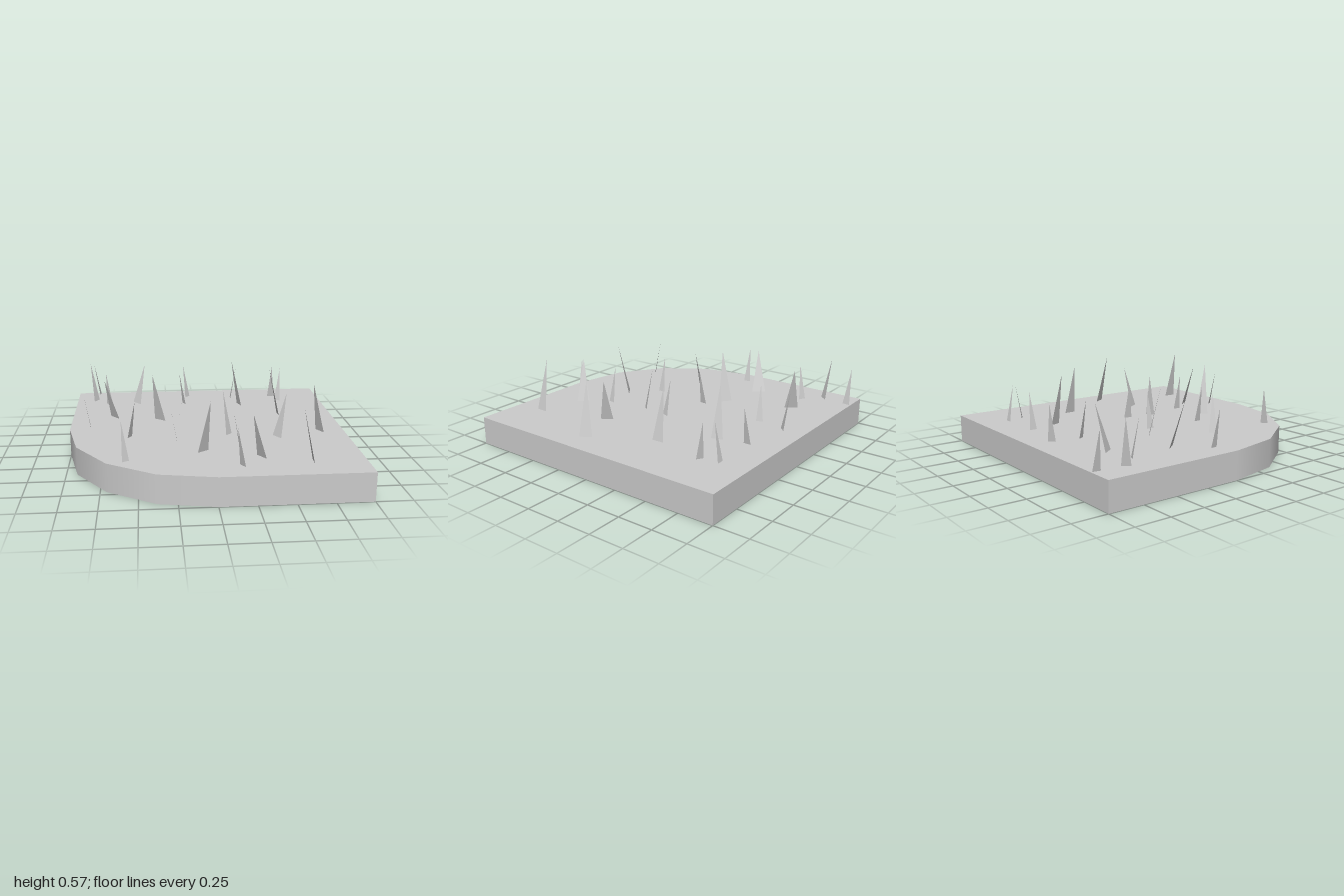
import * as THREE from 'three';

const H = 0.2; // ground height

// Blades by height above ground: [tip x, tip z, centre x, centre z]
const blades = [
  { height: 0.265, list: [
    [-0.872, -0.968, -0.84, -0.964], [-0.898, -0.064, -0.868, -0.067],
    [-0.754, -0.599, -0.74, -0.627], [-0.123, -0.861, -0.1, -0.84],
    [-0.166, -0.604, -0.141, -0.617], [0.316, -0.77, 0.285, -0.77],
    [0.615, -0.743, 0.615, -0.774], [0.674, -0.695, 0.658, -0.67],
    [-0.155, -0.08, -0.186, -0.083], [0.128, -0.027, 0.159, -0.016],
    [-0.519, 0.219, -0.546, 0.201], [-0.273, 0.337, -0.243, 0.337],
    [0.15, 0.481, 0.18, 0.486], [-0.604, 0.642, -0.588, 0.668],
    [0.134, 0.845, 0.16, 0.827],
  ] },
  { height: 0.31, list: [
    [-0.888, -0.797, -0.859, -0.775], [-0.749, -0.23, -0.702, -0.267],
    [-0.444, -0.717, -0.49, -0.683], [0.112, 0.15, 0.139, 0.175],
    [0.556, 0.23, 0.511, 0.257], [0.251, 0.711, 0.296, 0.681],
  ] },
  { height: 0.37, list: [
    [0.251, -0.54, 0.296, -0.555], [0.513, -0.267, 0.563, -0.269],
    [-0.388, -0.13, -0.352, -0.175], [0.755, 0.2, 0.8, 0.175],
    [-0.016, 0.594, -0.046, 0.551], [0.567, 0.775, 0.617, 0.777],
  ] },
];

export function createModel() {
  const group = new THREE.Group();
  const smooth = new THREE.MeshStandardMaterial({ color: 0xcccccc, side: THREE.DoubleSide });
  const add = (name, geometry, parent = group) => {
    const mesh = new THREE.Mesh(geometry, smooth);
    mesh.name = name;
    parent.add(mesh);
    return mesh;
  };

  // Ground surface: a square with one corner rounded in four steps
  const outline = [new THREE.Vector2(1, -1), new THREE.Vector2(1, 1), new THREE.Vector2(-1, 1)];
  for (let i = 0; i <= 4; i++) {
    const a = Math.PI + (i / 4) * Math.PI / 2;
    outline.push(new THREE.Vector2(Math.cos(a), Math.sin(a)));
  }
  add('groundTop', new THREE.ShapeGeometry(new THREE.Shape(outline)).rotateX(-Math.PI / 2).translate(0, H, 0));

  // Side walls, open underneath
  const wall = (name, length, turn, x, z) =>
    add(name, new THREE.PlaneGeometry(length, H).rotateY(turn).translate(x, H / 2, z));
  wall('frontWall', 1, 0, 0.5, 1);
  wall('leftWall', 2, Math.PI / 2, 1, 0);
  wall('backWall', 2, Math.PI, 0, -1);
  wall('rightWall', 1, -Math.PI / 2, -1, -0.5);
  add('roundedWall', new THREE.CylinderGeometry(1, 1, H, 4, 1, true, -Math.PI / 2, Math.PI / 2).translate(0, H / 2, 0));

  // Grass: leaning single triangles, equilateral seen from above
  const grass = new THREE.Group();
  grass.name = 'grass';
  group.add(grass);
  const up = new THREE.Vector3(0, 1, 0);
  for (const { height, list } of blades) {
    for (const [tx, tz, cx, cz] of list) {
      const centre = new THREE.Vector3(cx, H, cz);
      const arm = new THREE.Vector3(tx - cx, 0, tz - cz);
      const corner = (k) => arm.clone().applyAxisAngle(up, k * Math.PI * 2 / 3).add(centre);
      const tip = corner(0).setY(H + height);
      const geometry = new THREE.BufferGeometry().setFromPoints([tip, corner(1), corner(2)]);
      geometry.computeVertexNormals();
      add('grassBlade', geometry, grass);
    }
  }
  return group;
}
